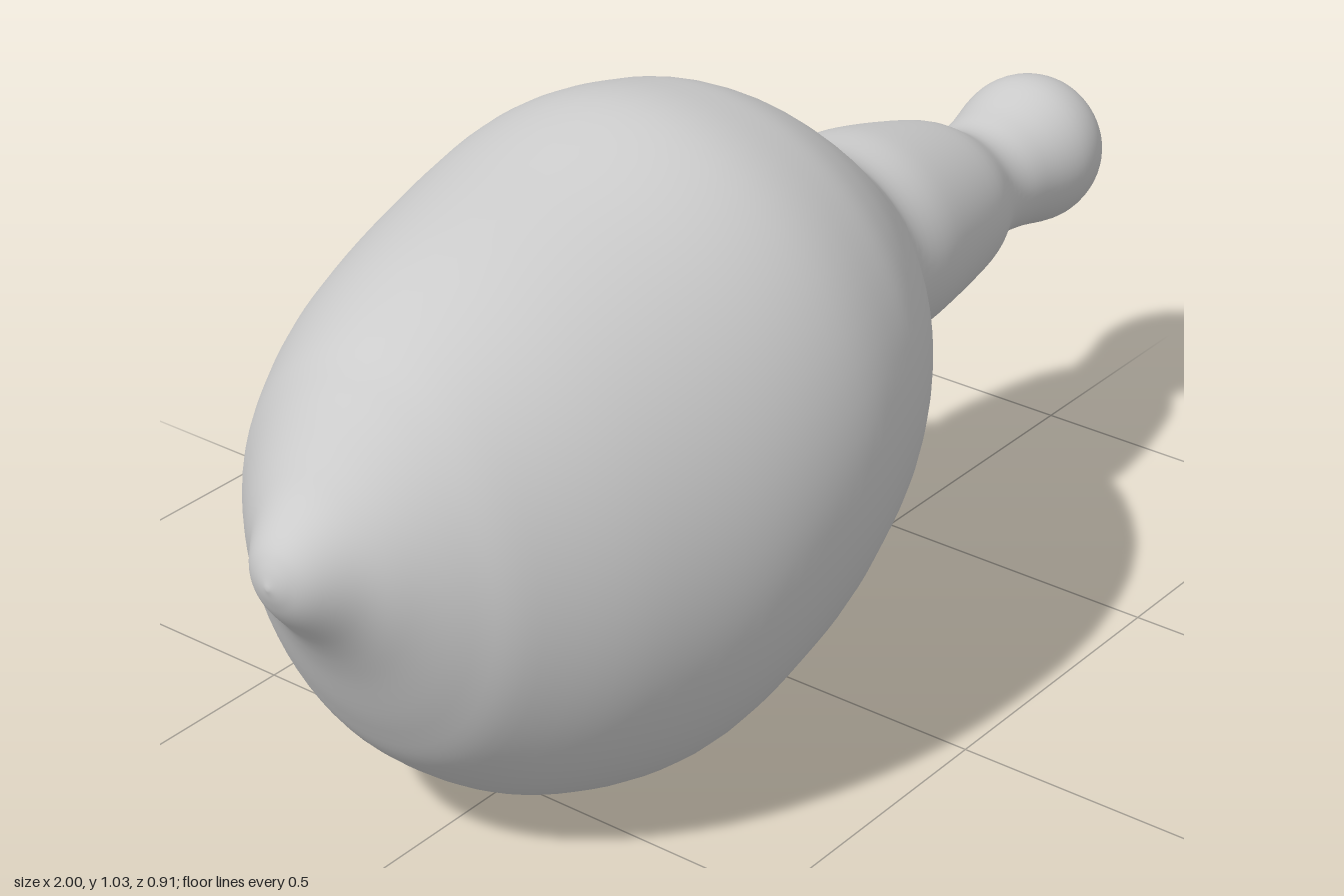
import * as THREE from 'three';

// Cross-sections along the length: [x, bottom, top, half-width]
const SECTIONS = [
  [-1, 0.58, 0.58, 0], [-0.99, 0.55, 0.615, 0.03], [-0.97, 0.515, 0.645, 0.062],
  [-0.92, 0.455, 0.69, 0.108], [-0.88, 0.39, 0.735, 0.155], [-0.82, 0.27, 0.8, 0.22],
  [-0.75, 0.17, 0.86, 0.285], [-0.6, 0.057, 0.925, 0.375], [-0.4, 0.003, 0.98, 0.44],
  [-0.2, 0.053, 1.027, 0.452], [-0.05, 0.125, 1.01, 0.422], [0.05, 0.185, 0.97, 0.38],
  [0.15, 0.265, 0.9, 0.315], [0.25, 0.365, 0.815, 0.23], [0.31, 0.41, 0.78, 0.185],
  [0.42, 0.417, 0.77, 0.18], [0.6, 0.44, 0.72, 0.145], [0.7, 0.468, 0.668, 0.105],
  [0.78, 0.465, 0.674, 0.11], [0.88, 0.447, 0.7, 0.13], [0.95, 0.468, 0.683, 0.11],
  [0.985, 0.515, 0.635, 0.06], [1, 0.574, 0.574, 0],
];

// Smooth curve through three columns of the section list
function sectionCurve(pick) {
  const points = SECTIONS.map((s) => new THREE.Vector3(...pick(s)));
  return new THREE.CatmullRomCurve3(points, false, 'catmullrom', 0.5);
}

// Closed skin of elliptical rings with a single point at each end
function loftGeometry(rings, sides) {
  const profile = sectionCurve(([x, low, high]) => [x, low, high]);
  const widths = sectionCurve(([x, , , w]) => [x, w, 0]);
  const positions = [];
  const indices = [];
  for (let i = 1; i < rings; i++) {
    const { x, y: low, z: high } = profile.getPoint(i / rings);
    const width = widths.getPoint(i / rings).y;
    for (let j = 0; j < sides; j++) {
      const a = (j / sides) * Math.PI * 2;
      positions.push(x, (low + high) / 2 + ((high - low) / 2) * Math.cos(a), width * Math.sin(a));
    }
  }
  const last = (rings - 2) * sides;
  const startPole = positions.length / 3;
  const endPole = startPole + 1;
  for (const s of [SECTIONS[0], SECTIONS[SECTIONS.length - 1]]) positions.push(s[0], s[1], 0);

  for (let j = 0; j < sides; j++) {
    const k = (j + 1) % sides;
    indices.push(startPole, j, k);
    for (let row = 0; row < last; row += sides) {
      const a = row + j, b = row + k, c = a + sides, d = b + sides;
      indices.push(a, c, b, b, c, d);
    }
    indices.push(last + j, endPole, last + k);
  }
  // Rings run clockwise seen from +x, so reverse each triangle to face outward
  for (let t = 0; t < indices.length; t += 3) {
    [indices[t + 1], indices[t + 2]] = [indices[t + 2], indices[t + 1]];
  }

  const geometry = new THREE.BufferGeometry();
  geometry.setAttribute('position', new THREE.Float32BufferAttribute(positions, 3));
  geometry.setIndex(indices);
  geometry.computeVertexNormals();
  return geometry;
}

export function createModel() {
  const group = new THREE.Group();
  group.name = 'bulbousBody';
  // Tilted egg-shaped body, pointed nub, tapering neck and rounded tip in one skin
  const material = new THREE.MeshStandardMaterial({ color: 0xcccccc });
  const body = new THREE.Mesh(loftGeometry(132, 64), material);
  body.name = 'bodyWithNeckAndTip';
  group.add(body);
  return group;
}
